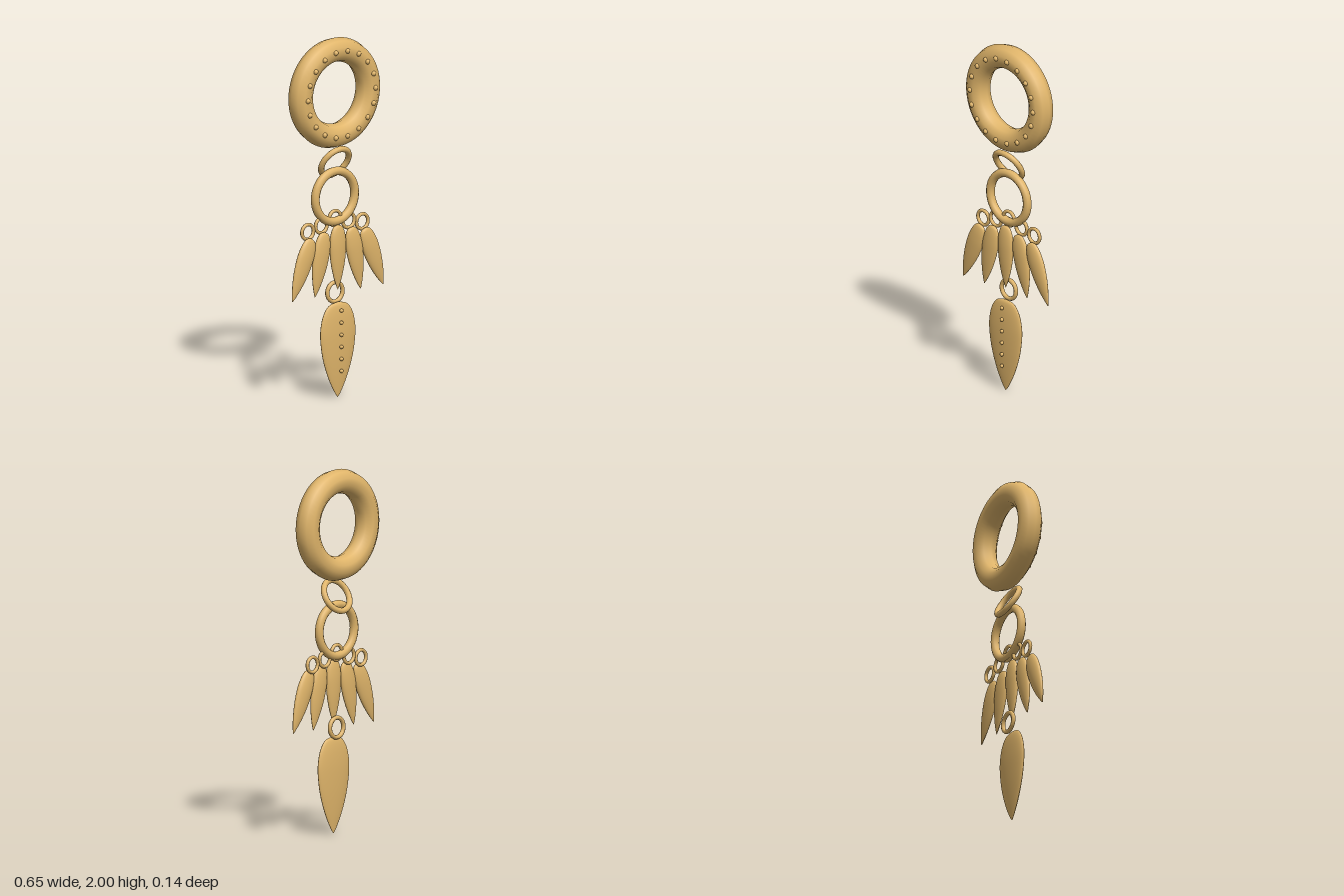
import * as THREE from 'three';

const gold = new THREE.MeshStandardMaterial({ color: 0xe0b56a });

function add(parent, name, geometry, x, y, z) {
  const mesh = new THREE.Mesh(geometry, gold);
  mesh.name = name;
  mesh.position.set(x, y, z);
  parent.add(mesh);
  return mesh;
}

const ring = (R, r, sides = 10) => new THREE.TorusGeometry(R, r, sides, 64);

// Flattened drop: top at the origin, tip at -length
function dropGeometry(length, halfWidth, halfDepth) {
  const profile = [
    [1, 0], [0.975, 0.1], [0.92, 0.25], [0.82, 0.48], [0.7, 0.69], [0.58, 0.85], [0.46, 0.95],
    [0.34, 1], [0.24, 0.97], [0.14, 0.86], [0.06, 0.66], [0.02, 0.42], [0, 0],
  ].map(([t, w]) => new THREE.Vector2(w * halfWidth, -t * length));
  const points = new THREE.SplineCurve(profile).getPoints(36);
  points.forEach((p) => { p.x = Math.max(p.x, 0); });
  const geometry = new THREE.LatheGeometry(points, 32);
  geometry.scale(1, 1, halfDepth / halfWidth);
  return geometry;
}

export function createModel() {
  const model = new THREE.Group();
  model.name = 'pendant';

  // Thick top ring with a circle of studs on its front
  const topY = 1.695;
  add(model, 'topRing', ring(0.239, 0.067), 0, topY, -0.009);
  const studs = new THREE.Group();
  studs.name = 'topRingStuds';
  model.add(studs);
  const studGeometry = new THREE.SphereGeometry(0.015, 10, 8);
  for (let i = 0; i < 18; i++) {
    const a = (i / 18) * Math.PI * 2;
    add(studs, 'stud', studGeometry, 0.241 * Math.cos(a), topY + 0.241 * Math.sin(a), 0.053);
  }

  // Tilted link and the middle ring
  add(model, 'linkRing', ring(0.091, 0.017), 0, 1.307, -0.003).rotation.x = 0.5;
  add(model, 'middleRing', ring(0.14, 0.024), 0, 1.117, -0.003);

  // Fan of five drops, each on a small ring
  const smallRing = ring(0.041, 0.01, 8);
  const smallDrop = dropGeometry(0.362, 0.056, 0.024);
  const ringY = [0.995, 0.968, 0.947];
  for (let i = -2; i <= 2; i++) {
    const y = ringY[Math.abs(i)];
    add(model, 'dropRing', smallRing, i * 0.097, y, -0.003);
    add(model, 'smallDrop', smallDrop, i * 0.094, y - 0.033, 0.021).rotation.z = i * 0.192;
  }

  // Large bottom drop with its ring and a row of beads
  add(model, 'bottomRing', ring(0.054, 0.012, 8), 0, 0.583, -0.003);
  add(model, 'bottomDrop', dropGeometry(0.532, 0.124, 0.025), 0, 0.532, 0.021);
  const beadGeometry = new THREE.SphereGeometry(0.011, 10, 8);
  for (let i = 0; i < 6; i++) add(model, 'bead', beadGeometry, 0, 0.15 + i * 0.0675, 0.052);

  return model;
}
